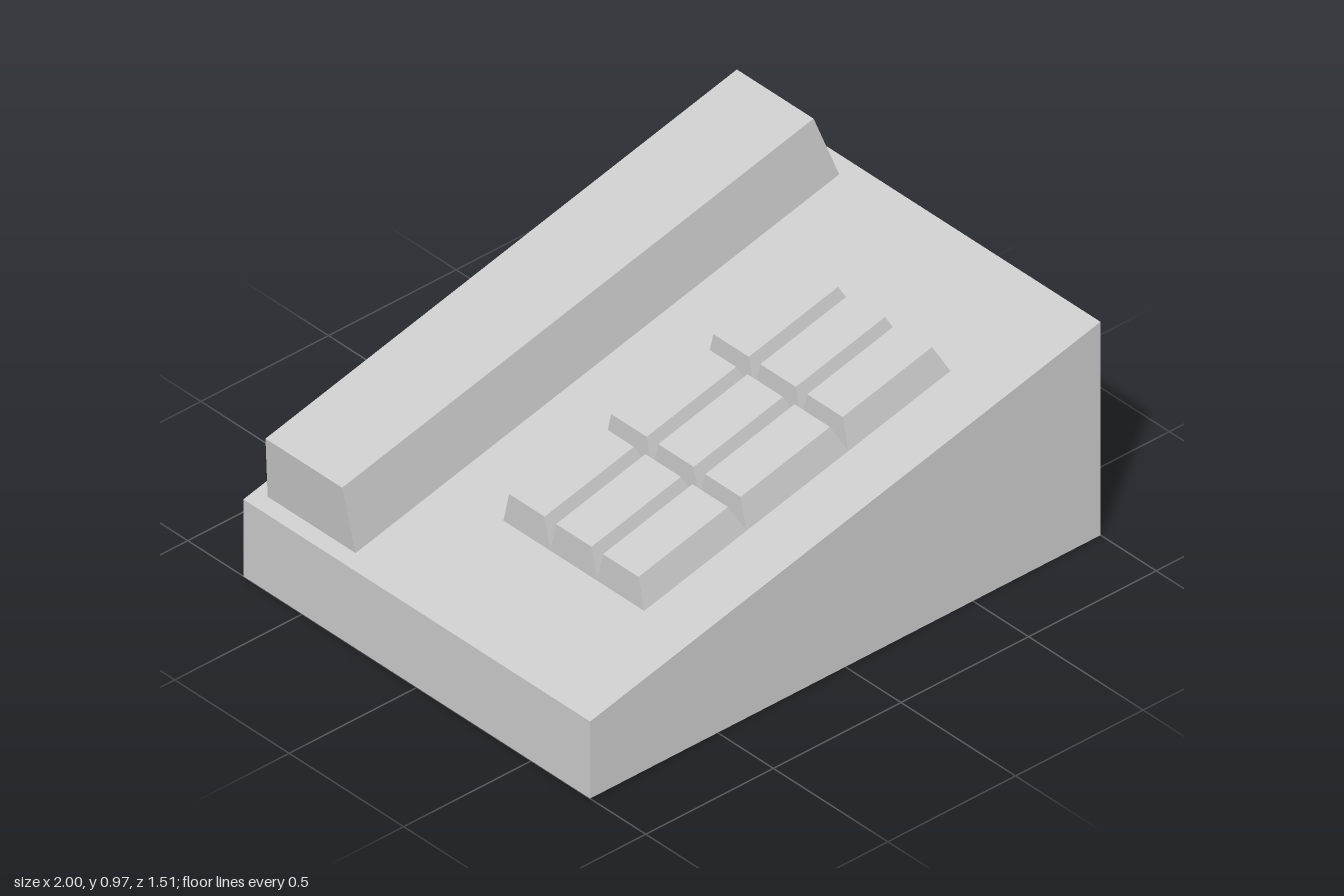
import * as THREE from 'three';

const material = new THREE.MeshStandardMaterial({ color: 0xcccccc, flatShading: true });
const slope = 0.243;
const deckY = (x) => 0.5175 + slope * x;

// Tapered block following the deck slope: base and top each give x range, z range and height above the deck
function slopedBlock(name, base, top) {
  const geometry = new THREE.BoxGeometry(1, 1, 1);
  const p = geometry.attributes.position;
  for (let i = 0; i < p.count; i++) {
    const end = p.getY(i) > 0 ? top : base;
    const x = end.x[p.getX(i) > 0 ? 1 : 0];
    const z = end.z[p.getZ(i) > 0 ? 1 : 0];
    p.setXYZ(i, x, end.flat ? 0 : deckY(x) + end.h, z);
  }
  geometry.computeVertexNormals();
  const mesh = new THREE.Mesh(geometry, material);
  mesh.name = name;
  return mesh;
}

export function createModel() {
  const model = new THREE.Group();
  model.name = 'deskPhone';

  // Wedge-shaped body
  const footprint = { x: [-1, 1], z: [-0.757, 0.757] };
  model.add(slopedBlock('body', { ...footprint, flat: true }, { ...footprint, h: 0 }));

  // Handset along the back
  model.add(slopedBlock('handset',
    { x: [-0.95, 0.945], z: [-0.707, -0.323], h: 0 },
    { x: [-0.98, 0.867], z: [-0.683, -0.348], h: 0.241 }));

  // Three by three keypad
  const keypad = new THREE.Group();
  keypad.name = 'keypad';
  for (let row = 0; row < 3; row++) {
    for (let col = 0; col < 3; col++) {
      const x = -0.6 + col * 0.4;
      const z = 0.035 + row * 0.205;
      keypad.add(slopedBlock('key',
        { x: [x, x + 0.4], z: [z - 0.1025, z + 0.1025], h: 0 },
        { x: [x, x + 0.35], z: [z - 0.0775, z + 0.0775], h: 0.108 }));
    }
  }
  model.add(keypad);
  return model;
}
